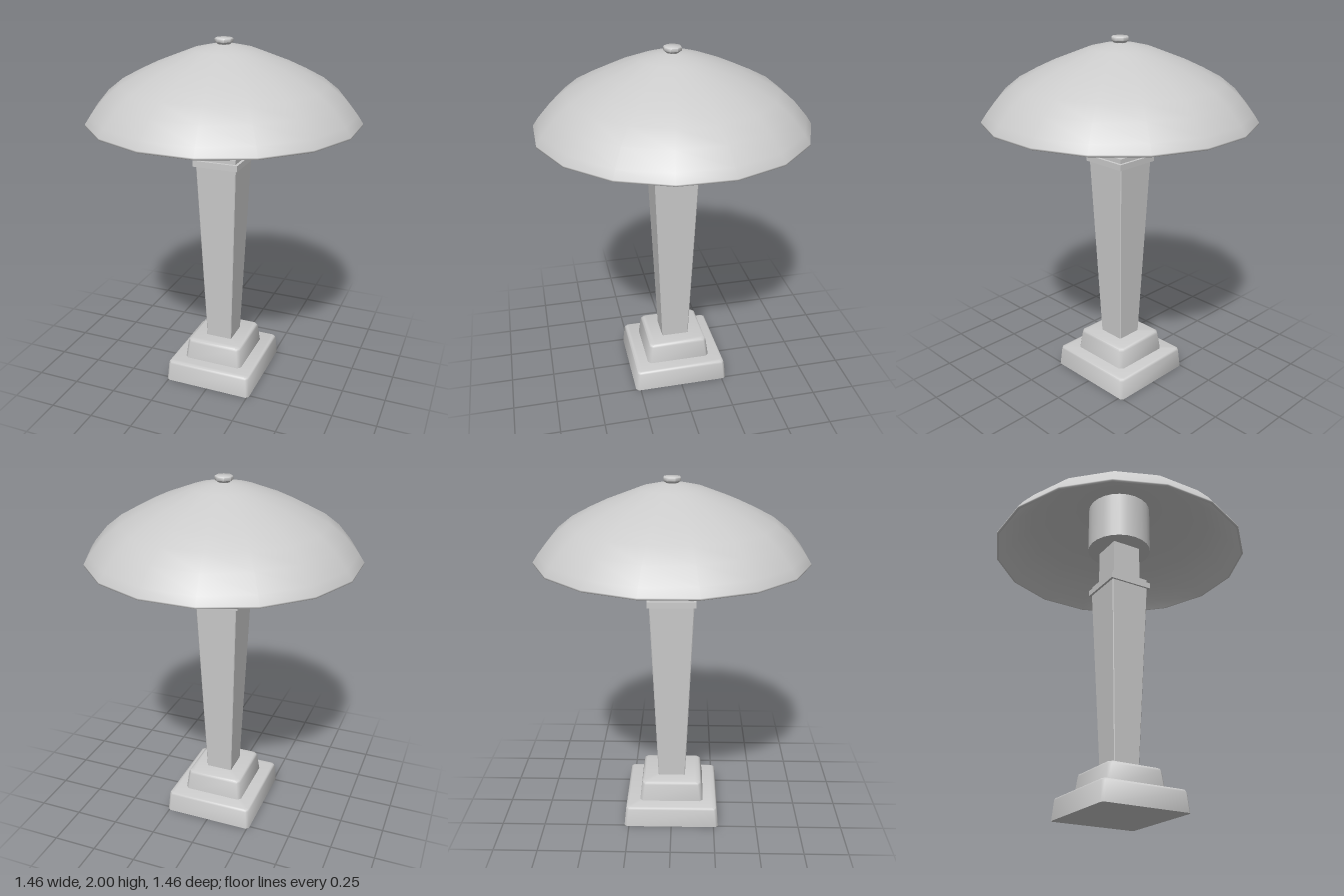
import * as THREE from 'three';
import { toCreasedNormals } from 'three/addons/utils/BufferGeometryUtils.js';

const material = new THREE.MeshStandardMaterial({ color: 0xcccccc });

function add(group, name, geometry, y = 0) {
  const mesh = new THREE.Mesh(geometry, material);
  mesh.name = name;
  mesh.position.y = y;
  group.add(mesh);
  return mesh;
}

// Loft through rectangles [y, halfWidth, halfDepth, cornerCut], capped at both ends.
function loft(sections, crease = 0.9) {
  const pos = [], idx = [], n = 8;
  for (const [y, w, d, c] of sections) {
    for (const [x, z] of [[w, d - c], [w - c, d], [c - w, d], [-w, d - c],
      [-w, c - d], [c - w, -d], [w - c, -d], [w, c - d]]) pos.push(x, y, z);
  }
  for (let s = 0; s < sections.length - 1; s++) {
    for (let i = 0; i < n; i++) {
      const a = s * n + i, b = s * n + (i + 1) % n;
      idx.push(a, a + n, b, b, a + n, b + n);
    }
  }
  const top = (sections.length - 1) * n;
  for (let i = 1; i < n - 1; i++) {
    idx.push(0, i, i + 1);
    idx.push(top, top + i + 1, top + i);
  }
  const geometry = new THREE.BufferGeometry();
  geometry.setAttribute('position', new THREE.Float32BufferAttribute(pos, 3));
  geometry.setIndex(idx);
  return toCreasedNormals(geometry, crease);
}

export function createModel() {
  const lamp = new THREE.Group();
  lamp.name = 'tableLamp';

  // Stepped foot with softened top edges
  add(lamp, 'lowerBase', loft([
    [0, 0.26, 0.277, 0.015], [0.108, 0.252, 0.266, 0.015],
    [0.118, 0.248, 0.262, 0.015], [0.123, 0.238, 0.252, 0.015]]));
  add(lamp, 'upperBase', loft([
    [0.12, 0.176, 0.187, 0.018], [0.225, 0.164, 0.174, 0.018],
    [0.237, 0.16, 0.17, 0.018], [0.243, 0.148, 0.158, 0.018]]));

  // Column flaring upward
  add(lamp, 'column', loft([[0.24, 0.076, 0.079, 0.004], [1.325, 0.117, 0.124, 0.004]], 0.5));

  // Two collar plates and the square neck
  add(lamp, 'lowerCollar', new THREE.BoxGeometry(0.26, 0.034, 0.27), 1.335);
  add(lamp, 'upperCollar', new THREE.BoxGeometry(0.228, 0.026, 0.24), 1.364);
  add(lamp, 'neck', new THREE.BoxGeometry(0.174, 0.25, 0.176), 1.495);

  // Socket drum hidden inside the shade
  add(lamp, 'socket', new THREE.CylinderGeometry(0.187, 0.187, 0.29, 24), 1.745);

  // Domed shade: thin shell, inner wall down to the rim, outer wall up to the crown
  const outer = [[0.744, 1.575], [0.715, 1.618], [0.645, 1.7], [0.56, 1.767], [0.455, 1.823],
    [0.355, 1.87], [0.175, 1.94], [0.08, 1.962], [0, 1.97]];
  const inner = outer.map(([r, y]) => [Math.max(r * 0.982, 0), y - 0.01]).reverse();
  const profile = [...inner, [0.735, 1.562], [0.744, 1.566], ...outer]
    .map(([r, y]) => new THREE.Vector2(r, y));
  const shade = add(lamp, 'shade', new THREE.LatheGeometry(profile, 16, Math.PI / 16));
  shade.material = material.clone();
  shade.material.side = THREE.DoubleSide;

  // Eight-sided finial knob
  const knob = [[0.032, 1.955], [0.034, 1.968], [0.049, 1.979], [0.049, 1.995], [0.044, 2], [0, 2]]
    .map(([r, y]) => new THREE.Vector2(r, y));
  add(lamp, 'finial', toCreasedNormals(new THREE.LatheGeometry(knob, 8, Math.PI / 8), 0.9));

  return lamp;
}
